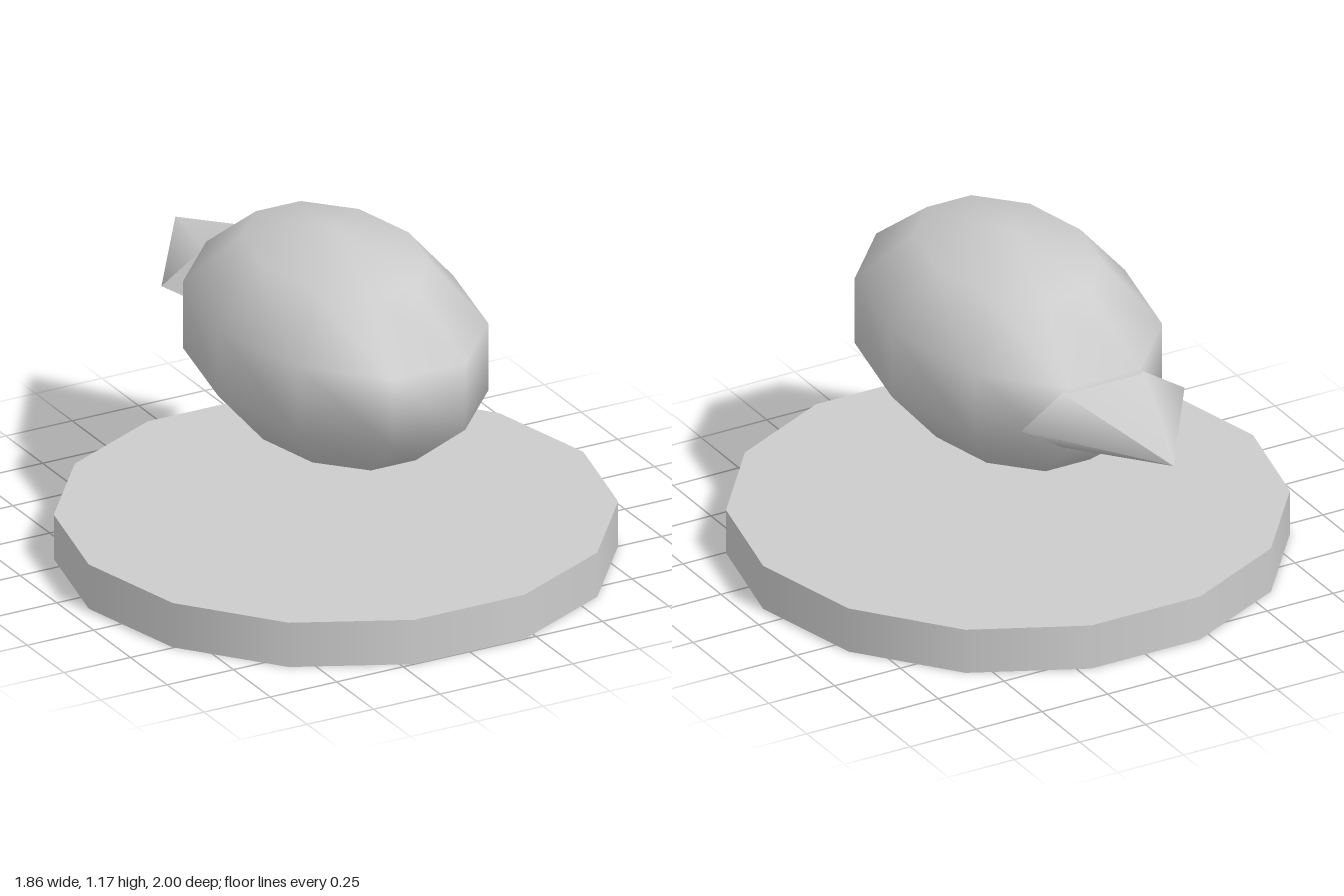
import * as THREE from 'three';

export function createModel() {
  const group = new THREE.Group();
  const grey = new THREE.MeshStandardMaterial({ color: 0xcccccc });
  grey.name = 'lightGrey';

  const add = (name, geometry, y, z) => {
    const mesh = new THREE.Mesh(geometry, grey);
    mesh.name = name;
    mesh.position.set(0, y, z);
    group.add(mesh);
  };

  // Fourteen-sided plinth with corners on the x axis
  const base = new THREE.CylinderGeometry(0.931, 0.931, 0.16, 14, 1, false, Math.PI / 14);
  add('base', base, 0.08, 0.092);

  // Floating egg-shaped body, a coarse sphere stretched along z
  const body = new THREE.SphereGeometry(1, 10, 5).scale(0.466, 0.388, 0.7);
  add('body', body, 0.782, 0.09);

  // Flattened six-sided tail cone pointing backwards
  const tail = new THREE.ConeGeometry(1, 0.465, 6, 1, false, Math.PI / 6)
    .rotateX(-Math.PI / 2)
    .scale(0.31, 0.116, 1);
  add('tail', tail, 0.782, -0.7675);

  return group;
}
